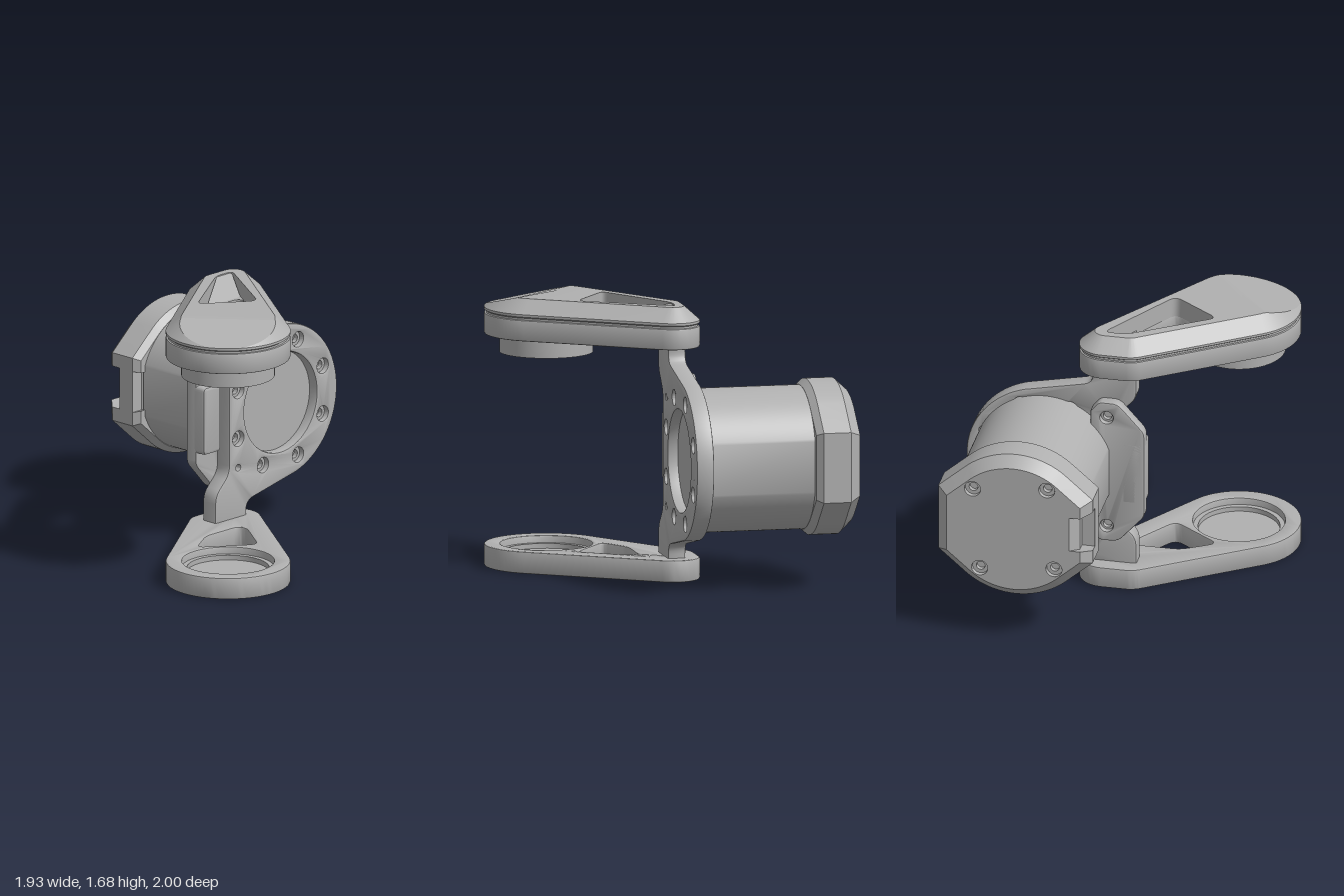
import * as THREE from 'three';
import { toCreasedNormals } from 'three/addons/utils/BufferGeometryUtils.js';

const V2 = (x, y) => new THREE.Vector2(x, y);
const CX = 0.467, CY = 0.783; // motor axis

export function createModel() {
  const model = new THREE.Group();
  const grey = new THREE.MeshStandardMaterial({ color: 0xb0b0b0, side: THREE.DoubleSide });
  const add = (name, geo, x = 0, y = 0, z = 0, parent = model) => {
    const mesh = new THREE.Mesh(toCreasedNormals(geo, 0.5), grey);
    mesh.name = name;
    mesh.position.set(x, y, z);
    parent.add(mesh);
    return mesh;
  };
  const group = (name) => {
    const g = new THREE.Group();
    g.name = name;
    model.add(g);
    return g;
  };

  // Polygon with rounded corners, each point [x, y, radius]
  const roundPoly = (pts) => {
    const out = [];
    pts.forEach(([x, y, r = 0], i) => {
      const p = V2(x, y);
      if (!r) return out.push(p);
      const prev = pts[(i + pts.length - 1) % pts.length], next = pts[(i + 1) % pts.length];
      const a = V2(prev[0], prev[1]).sub(p).setLength(r).add(p);
      const b = V2(next[0], next[1]).sub(p).setLength(r).add(p);
      out.push(...new THREE.QuadraticBezierCurve(a, p, b).getPoints(6));
    });
    return out;
  };
  const circle = (x, y, r) => new THREE.Path().absarc(x, y, r, 0, Math.PI * 2);
  const shapeOf = (pts, holes = []) => {
    const s = new THREE.Shape(pts);
    s.holes.push(...holes);
    return s;
  };
  // Extrusion from a to b along z, with the bevel kept inside the outline
  const slab = (shape, a, b, bevel = 0) => new THREE.ExtrudeGeometry(shape, {
    depth: b - a - 2 * bevel, bevelEnabled: bevel > 0, bevelSize: bevel, bevelThickness: bevel,
    bevelOffset: -bevel, bevelSegments: 2, curveSegments: 32,
  }).translate(0, 0, a + bevel);
  const upSlab = (...args) => slab(...args).rotateX(-Math.PI / 2);
  // Horizontal sheet whose height follows a rule
  const sheet = (shape, heightAt) => {
    const g = new THREE.ShapeGeometry(shape).rotateX(-Math.PI / 2);
    const p = g.attributes.position;
    for (let i = 0; i < p.count; i++) p.setY(i, heightAt(p.getX(i), p.getZ(i)));
    return g;
  };
  // Skin through closed loops of equal length
  const loft = (loops) => {
    const n = loops[0].length, index = [];
    for (let k = 0; k + 1 < loops.length; k++) {
      for (let j = 0; j < n; j++) {
        const a = k * n + j, b = k * n + (j + 1) % n;
        index.push(a, b, b + n, a, b + n, a + n);
      }
    }
    const g = new THREE.BufferGeometry().setFromPoints(loops.flat());
    g.setIndex(index);
    g.computeVertexNormals();
    return g;
  };
  const lathe = (pts) => new THREE.LatheGeometry(pts.map(([x, y]) => V2(x, y)), 48);

  // Arm outline: hull of three circles, shape y = -z
  const circles = [[-0.59, -0.62, 0.38], [0.1, 0.01, 0.165], [-0.05, 0.01, 0.165]];
  const tangent = (A, B) => {
    const dx = B[0] - A[0], dy = B[1] - A[1];
    return Math.atan2(dy, dx) - Math.acos((A[2] - B[2]) / Math.hypot(dx, dy));
  };
  const rim = [];
  circles.forEach((c, i) => {
    const from = tangent(circles[(i + 2) % 3], c);
    let to = tangent(c, circles[(i + 1) % 3]);
    while (to < from) to += Math.PI * 2;
    const n = i ? 10 : 48;
    for (let k = 0; k <= n; k++) rim.push({ c, a: from + (to - from) * k / n });
  });
  const rimPoint = ({ c, a }, d) => V2(c[0] + (c[2] - d) * Math.cos(a), c[1] + (c[2] - d) * Math.sin(a));
  const outline = (d = 0) => rim.map((p) => rimPoint(p, d));
  const armWindow = () => new THREE.Path(roundPoly([[-0.52, -0.29, 0.05], [-0.22, -0.51, 0.06],
    [-0.03, -0.23, 0.04], [-0.05, -0.17, 0.04], [-0.32, -0.17, 0.05]]));

  // Lower arm with round socket
  const lower = group('lowerArm');
  add('lowerArmBody', upSlab(shapeOf(outline(), [armWindow(), circle(-0.59, -0.62, 0.28), circle(0.05, 0.03, 0.035)]),
    0, 0.135, 0.01), 0, 0, 0, lower);
  add('socketFloor', lathe([[0, 0], [0.302, 0], [0.285, 0.09], [0.25, 0.09], [0.25, 0.06], [0, 0.06]]),
    -0.59, 0, 0.62, lower);

  // Upper arm with boss, groove and chamfered cover
  const upper = group('upperArm');
  add('upperArmBody', upSlab(shapeOf(outline(), [armWindow()]), 1.43, 1.56, 0.01), 0, 0, 0, upper);
  add('groove', upSlab(shapeOf(outline(0.012), [armWindow()]), 1.555, 1.58), 0, 0, 0, upper);
  add('boss', lathe([[0, 1.315], [0.285, 1.315], [0.285, 1.42], [0.275, 1.435], [0, 1.435]]), -0.59, 0, 0.62, upper);

  const along = (x, z) => -0.74 * x + 0.67 * z;
  const SLOPE_START = 0.87;
  const coverHeight = (x, z) => 1.68 - 0.24 * Math.max(0, along(x, z) - SLOPE_START);
  const topRim = rim.map((p) => {
    let lo = 0, hi = 0.1;
    for (let k = 0; k < 24; k++) {
      const mid = (lo + hi) / 2, q = rimPoint(p, mid);
      if (1.595 + 0.9 * mid < coverHeight(q.x, -q.y)) lo = mid; else hi = mid;
    }
    return rimPoint(p, lo);
  });
  const level = (pts, heightAt) => pts.map((p) => new THREE.Vector3(p.x, heightAt(p.x, -p.y), -p.y));
  add('coverSides', loft([level(outline(0.012), () => 1.572), level(outline(), () => 1.58),
    level(outline(), () => 1.595), level(topRim, coverHeight)]), 0, 0, 0, upper);
  const sloped = topRim.map((p, i) => (along(p.x, -p.y) >= SLOPE_START ? i : -1)).filter((i) => i >= 0);
  const first = sloped[0], last = sloped[sloped.length - 1];
  const opening = roundPoly([[-0.52, -0.29, 0.05], [-0.22, -0.51, 0.06], [0.11, 0.03, 0.05], [-0.03, 0.03, 0.05]]);
  add('coverTop', sheet(shapeOf([...topRim.slice(last), ...topRim.slice(0, first + 1)], [new THREE.Path(opening)]),
    coverHeight), 0, 0, 0, upper);
  add('coverSlope', sheet(shapeOf(topRim.slice(first, last + 1)), coverHeight), 0, 0, 0, upper);
  add('coverOpening', loft([level(opening, () => 1.68), level(opening, () => 1.555)]), 0, 0, 0, upper);
  add('openingRamp', sheet(shapeOf([V2(-0.34, -0.18), V2(-0.02, -0.18), V2(0.1, 0.025), V2(-0.03, 0.025)]),
    (x, z) => 1.675 - 0.55 * (z + 0.025)), 0, 0, 0, upper);

  // Mounting plate, mirrored about the motor axis
  const half = [];
  for (let k = 0; k <= 24; k++) {
    const a = 1.31 * k / 24;
    half.push([CX + 0.49 * Math.cos(a), CY + 0.49 * Math.sin(a)]);
  }
  half.push([0.17, 1.345, 0.06], [0.17, 1.46], [-0.1, 1.46], [-0.1, 1.26, 0.05], [0.02, 1.14, 0.05]);
  const mirrored = half.slice(1).reverse().map(([x, y, r]) => [x, 2 * CY - y, r]);
  const bolts = Array.from({ length: 8 }, (_, i) => {
    const a = (i + 0.5) * Math.PI / 4;
    return [CX + 0.397 * Math.cos(a), CY + 0.397 * Math.sin(a)];
  });
  const plateHoles = [circle(CX, CY, 0.315), circle(0.1, CY + 0.337, 0.018), circle(0.1, CY - 0.337, 0.018),
    ...bolts.map(([x, y]) => circle(x, y, 0.046))];
  add('mountingPlate', slab(shapeOf(roundPoly([...half, ...mirrored]), plateHoles), -0.075, 0.035, 0.012));
  const screw = () => lathe([[0, -0.06], [0.027, -0.06], [0.027, -0.03], [0.05, -0.03], [0.05, 0]]);
  bolts.forEach(([x, y]) => add('plateScrew', screw().rotateX(Math.PI / 2), x, y, 0.03));

  // Motor body: cylinder with flat sides
  const flat = Math.acos(0.412 / 0.44);
  const body = new THREE.Shape().absarc(0, 0, 0.44, flat, Math.PI - flat)
    .absarc(0, 0, 0.44, Math.PI + flat, 2 * Math.PI - flat);
  add('motorBody', slab(body, -0.73, -0.03), CX, CY, 0);

  // End cap with chamfers, connector slot and screws
  const cap = group('endCap');
  cap.position.set(CX, CY, 0);
  const capPts = [V2(0.48, -0.215), V2(0.48, 0.215)];
  const arc = (from) => {
    for (let k = 0; k <= 20; k++) {
      const a = from + (Math.PI - 1.78) * k / 20;
      capPts.push(V2(0.4775 * Math.cos(a), 0.4775 * Math.sin(a)));
    }
  };
  arc(0.89);
  capPts.push(V2(-0.48, 0.215), V2(-0.48, 0.13), V2(-0.4, 0.13), V2(-0.4, -0.13), V2(-0.48, -0.13), V2(-0.48, -0.215));
  arc(Math.PI + 0.89);
  const capLoop = (inset) => capPts.map((p) => p.clone().multiplyScalar(1 - inset / 0.48));
  const capSteps = [[-1, 0.065], [-0.93, 0], [-0.76, 0], [-0.72, 0.035]];
  add('capSides', loft(capSteps.map(([z, d]) => capLoop(d).map((p) => new THREE.Vector3(p.x, p.y, z)))), 0, 0, 0, cap);
  const capScrews = [44.5, 126, 224.5, 306].map((deg) => {
    const a = deg * Math.PI / 180;
    return [0.355 * Math.cos(a), 0.355 * Math.sin(a)];
  });
  add('capBack', new THREE.ShapeGeometry(shapeOf(capLoop(0.065), capScrews.map(([x, y]) => circle(x, y, 0.05))), 32),
    0, 0, -1, cap);
  add('capFront', new THREE.ShapeGeometry(shapeOf(capLoop(0.035))), 0, 0, -0.72, cap);
  capScrews.forEach(([x, y]) => add('capScrew', screw().rotateX(-Math.PI / 2), x, y, -1, cap));
  add('connectorLedge', new THREE.BoxGeometry(0.09, 0.26, 0.11), -0.435, 0, -0.815, cap);

  // Side bracket behind the plate, with its screws and block
  const bracket = group('sideBracket');
  const sideHalf = [[-0.165, 1.07, 0.03], [0, 1.255, 0.04], [0.12, 1.255, 0.03], [0.17, 1.19]];
  const bracketPts = [...sideHalf, ...sideHalf.slice().reverse().map(([x, y, r]) => [x, 2 * CY - y, r])];
  const bracketScrews = [0.37, -0.37].map((d) => [0.07, CY + d]);
  add('bracketPlate', slab(shapeOf(roundPoly(bracketPts).reverse(), bracketScrews.map(([x, y]) => circle(x, y, 0.04))),
    -0.15, -0.07, 0.01), 0, 0, 0, bracket);
  bracketScrews.forEach(([x, y]) => add('bracketScrew', screw().rotateX(-Math.PI / 2), x, y, -0.145, bracket));
  const block = roundPoly([[-0.165, 0.57, 0.03], [-0.015, 0.57, 0.03], [-0.015, 1.0, 0.03], [-0.165, 1.0, 0.03]]);
  add('bracketBlock', slab(shapeOf(block), -0.15, 0.0, 0.02), 0, 0, 0, bracket);

  return model;
}
